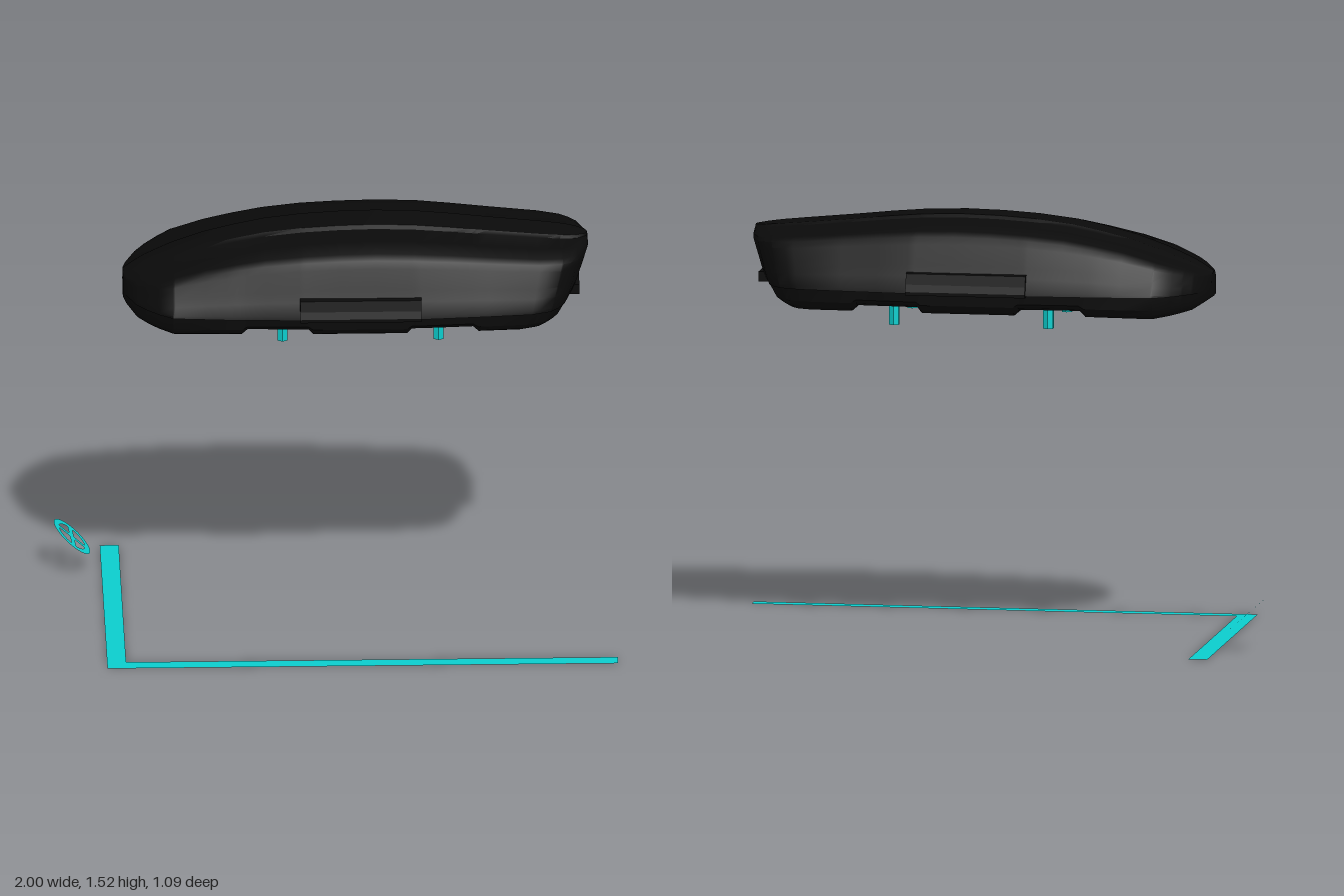
import * as THREE from 'three';
import { toCreasedNormals } from 'three/addons/utils/BufferGeometryUtils.js';

const black = new THREE.MeshStandardMaterial({ name: 'black shell', color: 0x0a0a0a });
const teal = new THREE.MeshStandardMaterial({ name: 'teal', color: 0x0ccfcf });
const tealSheet = new THREE.MeshStandardMaterial({ name: 'teal sheet', color: 0x0ccfcf, side: THREE.DoubleSide });

// Piecewise linear lookup in a list of [position, value] pairs
function lookup(table, t) {
  if (t <= table[0][0]) return table[0][1];
  for (let i = 1; i < table.length; i++) {
    const [a, va] = table[i - 1], [b, vb] = table[i];
    if (t <= b) return va + (vb - va) * (t - a) / (b - a);
  }
  return table[table.length - 1][1];
}

const SEAM = 1.267;
const halfWidth = [[-0.762, 0.05], [-0.75, 0.107], [-0.717, 0.187], [-0.68, 0.235], [-0.636, 0.278], [-0.588, 0.313],
  [-0.396, 0.33], [-0.134, 0.342], [0.3, 0.342], [0.727, 0.31], [0.807, 0.285], [0.84, 0.255], [0.868, 0.212], [0.898, 0.107], [0.906, 0.04]];
const topLine = [[-0.762, 1.325], [-0.685, 1.364], [-0.58, 1.406], [-0.47, 1.444], [-0.36, 1.471], [-0.257, 1.492],
  [-0.12, 1.508], [0.01, 1.516], [0.14, 1.519], [0.278, 1.515], [0.41, 1.504], [0.545, 1.49], [0.813, 1.465], [0.906, 1.455]];
const bottomLine = [[-0.762, 1.235], [-0.71, 1.205], [-0.65, 1.192], [-0.578, 1.181], [-0.342, 1.186], [-0.322, 1.208],
  [-0.104, 1.208], [-0.086, 1.186], [0.25, 1.186], [0.267, 1.208], [0.486, 1.208], [0.506, 1.186], [0.76, 1.184]];
// Rear end position by height: the tail overhangs the base
const rearLine = [[1.18, 0.762], [1.22, 0.82], [1.29, 0.862], [1.36, 0.886], [1.42, 0.906], [1.46, 0.9]];
// Half cross-section: [share of width, share of height above (+) or below (-) the seam]
const section = [[0, 1], [0.19, 1], [0.235, 0.955], [0.5, 0.915], [0.7, 0.85], [0.77, 0.78], [0.815, 0.68], [0.88, 0.4],
  [0.94, 0.25], [0.99, 0.06], [1, 0], [0.955, -0.01], [0.95, -0.55], [0.91, -0.8], [0.83, -0.96], [0, -1]];

// Closed shell lofted along x, with capped ends
function shellGeometry() {
  const stations = [...new Set([...halfWidth, ...topLine, ...bottomLine].map(p => p[0]))].sort((a, b) => a - b);
  const ring = [...section, ...section.slice(1, -1).reverse().map(([w, h]) => [-w, h])];
  const n = ring.length, pos = [], idx = [];
  stations.forEach(x => {
    const W = lookup(halfWidth, x), T = lookup(topLine, x), B = lookup(bottomLine, x);
    ring.forEach(([w, h]) => {
      const y = SEAM + h * (h > 0 ? T - SEAM : SEAM - B);
      const shear = x > 0.52 ? 0.52 + (x - 0.52) * (lookup(rearLine, y) - 0.52) / 0.386 : x;
      pos.push(shear, y, w * W);
    });
  });
  for (let i = 0; i < stations.length - 1; i++) {
    for (let j = 0; j < n; j++) {
      const a = i * n + j, b = i * n + (j + 1) % n;
      idx.push(a, b, a + n, b, b + n, a + n);
    }
  }
  const last = (stations.length - 1) * n, c = pos.length / 3;
  pos.push(-0.762, SEAM, 0, lookup(rearLine, SEAM), SEAM, 0);
  for (let j = 0; j < n; j++) {
    const k = (j + 1) % n;
    idx.push(c, k, j, c + 1, last + j, last + k);
  }
  const g = new THREE.BufferGeometry();
  g.setAttribute('position', new THREE.Float32BufferAttribute(pos, 3));
  g.setIndex(idx);
  return toCreasedNormals(g, 0.5);
}

function polygon(points) {
  return new THREE.Shape(points.map(([x, y]) => new THREE.Vector2(x, y)));
}

export function createModel() {
  const model = new THREE.Group();
  const add = (name, geometry, material, parent = model) => {
    const m = new THREE.Mesh(geometry, material);
    m.name = name;
    parent.add(m);
    return m;
  };

  // Cargo shell
  add('shell', shellGeometry(), black);

  // Side grip rails, drawn in plan-section and swept along x
  for (const side of [1, -1]) {
    const profile = polygon([[0.29, 1.262], [0.352, 1.262], [0.352, 1.274], [0.343, 1.3], [0.334, 1.338], [0.29, 1.345]]);
    const g = new THREE.ExtrudeGeometry(profile, { depth: 0.434, bevelEnabled: false });
    g.translate(0, 0, -0.217);
    g.rotateY(side > 0 ? -Math.PI / 2 : Math.PI / 2);
    add(side > 0 ? 'frontGripRail' : 'backGripRail', g, black).position.x = 0.083;
  }

  // Rear lip
  add('rearLip', new THREE.BoxGeometry(0.06, 0.036, 0.24), black).position.set(0.842, 1.281, 0);

  // Four hexagonal mounting feet
  for (const x of [-0.195, 0.365]) for (const z of [-0.201, 0.201]) {
    add('mountingFoot', new THREE.CylinderGeometry(0.0205, 0.0205, 0.1, 6).toNonIndexed(), teal).position.set(x, 1.183, z);
  }
  model.children.filter(m => m.name === 'mountingFoot').forEach(m => m.geometry.computeVertexNormals());

  // Flat corner marker lying on the ground
  const corner = new THREE.ShapeGeometry(polygon([[-0.83, -0.54], [1, -0.54], [1, -0.486],
    [-0.762, -0.486], [-0.762, 0.545], [-0.83, 0.545]]));
  corner.rotateX(-Math.PI / 2);
  add('cornerMarker', corner, tealSheet);

  // Tilted ring with crossed bars
  const target = new THREE.Group();
  target.name = 'targetRing';
  add('ring', new THREE.RingGeometry(0.062, 0.087, 48), tealSheet, target);
  add('uprightBar', new THREE.PlaneGeometry(0.022, 0.13), tealSheet, target);
  add('crossBar', new THREE.PlaneGeometry(0.13, 0.022), tealSheet, target).rotation.z = 0.12;
  target.quaternion.setFromRotationMatrix(new THREE.Matrix4().makeBasis(
    new THREE.Vector3(0, 0, -1), new THREE.Vector3(-0.749, 0.6626, 0), new THREE.Vector3(0.6626, 0.749, 0)));
  target.position.set(-0.935, 0.132, -0.33);
  model.add(target);

  return model;
}
